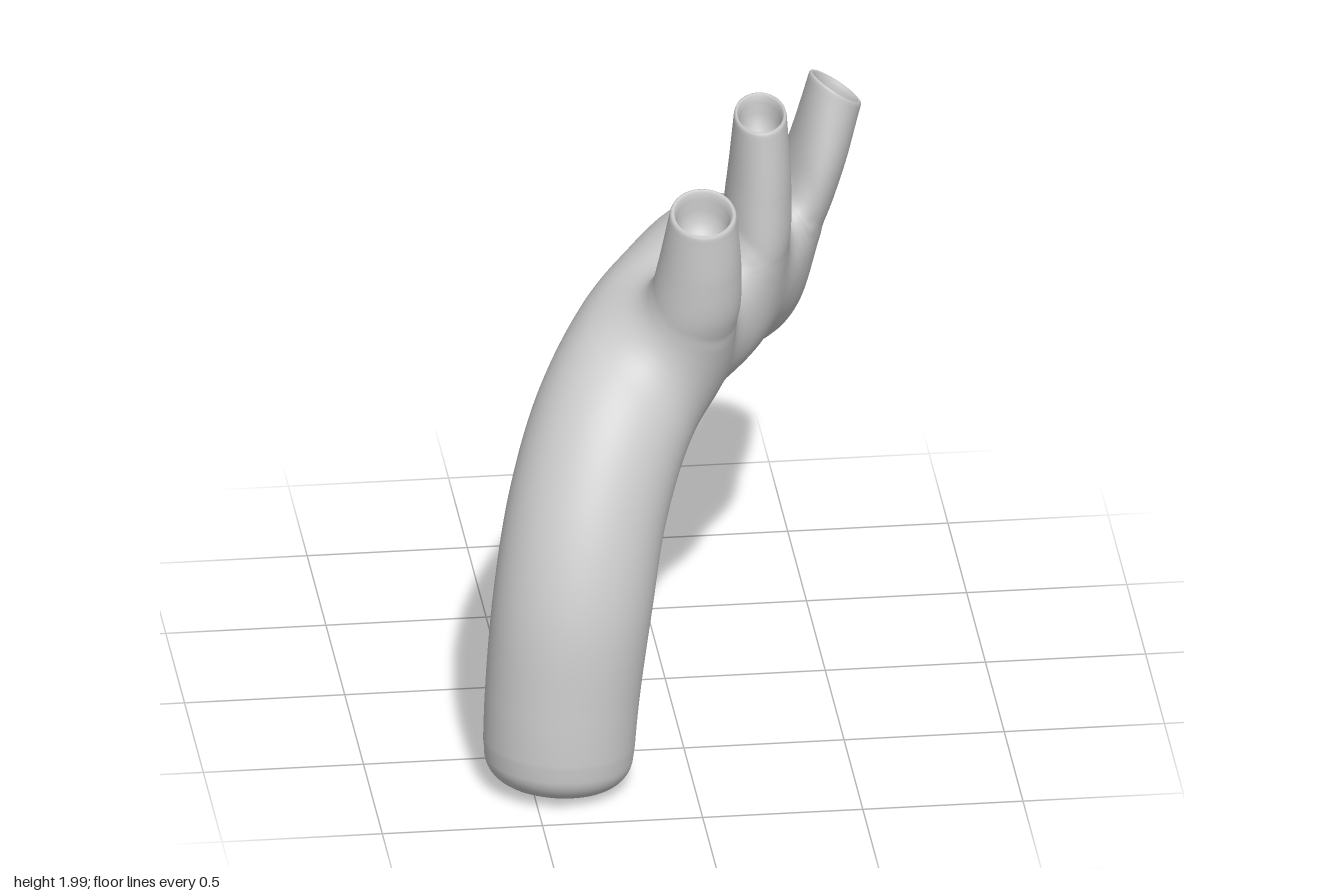
import * as THREE from 'three';

const SEG = 72, ARCH_STEPS = 200, BRANCH_STEPS = 80, BLEND = 0.135;
const V = (x, y, z) => new THREE.Vector3(x, y, z);
const material = new THREE.MeshStandardMaterial({ color: 0xcccccc });

// Rounded lip and hollow of an open end: [radius factor, depth]
const HOLLOW = [[0.97, -0.008], [0.91, -0.011], [0.85, -0.004], [0.79, 0.015], [0.74, 0.05], [0.63, 0.085], [0.4, 0.105], [0, 0.115]];

// Sections: x, y, z, two radii
const ARCH = [
  [-0.42, 0.018, 0.703, 0.232, 0.232], [-0.402, 0.3, 0.687, 0.24, 0.24], [-0.365, 0.6, 0.65, 0.248, 0.248],
  [-0.305, 0.88, 0.547, 0.248, 0.248], [-0.21, 1.1, 0.4, 0.248, 0.248], [-0.065, 1.245, 0.182, 0.248, 0.248],
  [0.07, 1.298, 0, 0.248, 0.248], [0.185, 1.268, -0.25, 0.243, 0.243], [0.255, 1.175, -0.46, 0.228, 0.24],
  [0.284, 1.085, -0.64, 0.206, 0.238], [0.31, 0.95, -0.83, 0.158, 0.166],
];
// Branches also have the slope of the mouth along x and z
const BRANCHES = [
  { name: 'frontBranch', tilt: [0, -0.45], sections: [
    [-0.08, 1.22, 0.26, 0.1, 0.1], [-0.005, 1.32, 0.335, 0.145, 0.14], [0.038, 1.45, 0.385, 0.146, 0.145],
    [0.058, 1.62, 0.42, 0.13, 0.13], [0.065, 1.815, 0.46, 0.104, 0.094]] },
  { name: 'middleBranch', tilt: [0.03, -0.25], sections: [
    [0.12, 1.25, 0, 0.1, 0.12], [0.21, 1.36, 0, 0.115, 0.16], [0.27, 1.5, 0.018, 0.11, 0.178],
    [0.287, 1.72, 0.045, 0.1, 0.149], [0.288, 1.965, 0.08, 0.082, 0.102]] },
  { name: 'rearBranch', tilt: [-0.7, 0.18], sections: [
    [0.29, 1.17, -0.42, 0.09, 0.14], [0.36, 1.27, -0.4, 0.098, 0.19], [0.437, 1.4, -0.382, 0.092, 0.216],
    [0.507, 1.62, -0.337, 0.088, 0.18], [0.566, 1.858, -0.305, 0.08, 0.108]] },
];

// Evenly stepped centre, tangent and radii along a list of sections
function sample(sections, steps) {
  const path = new THREE.CatmullRomCurve3(sections.map(s => V(s[0], s[1], s[2])));
  const size = new THREE.CatmullRomCurve3(sections.map(s => V(s[3], 0, s[4])), false, 'catmullrom');
  return Array.from({ length: steps + 1 }, (_, i) => {
    const r = size.getPoint(i / steps);
    return { c: path.getPoint(i / steps), t: path.getTangent(i / steps), rx: r.x, rz: r.z };
  });
}
const archSpine = sample(ARCH, ARCH_STEPS);
const branchSpines = BRANCHES.map(b => sample(b.sections, BRANCH_STEPS));
const spines = [archSpine, ...branchSpines];

// Approximate distance from a point to the skin of one tube
function distance(p, spine) {
  let best = Infinity;
  for (const { c, rx, rz } of spine) {
    const m = Math.min(rx, rz), x = (p.x - c.x) / rx, y = (p.y - c.y) / m, z = (p.z - c.z) / rz;
    best = Math.min(best, (Math.sqrt(x * x + y * y + z * z) - 1) * m);
  }
  return best;
}
// All tubes joined with soft fillets
const softMin = (a, b) => Math.min(a, b) - Math.max(BLEND - Math.abs(a - b), 0) ** 2 / (4 * BLEND);
const field = p => spines.map(s => distance(p, s)).reduce(softMin);
function gradient(p, f) {
  const e = 0.004;
  return V(field(V(p.x + e, p.y, p.z)) - f, field(V(p.x, p.y + e, p.z)) - f, field(V(p.x, p.y, p.z + e)) - f).divideScalar(e);
}

// Skin a list of rings, drawing the vertices near other tubes onto the fillet
function loft(rings, name, own) {
  const others = spines.filter(s => s !== own);
  const pos = [], idx = [], blended = [];
  rings.flat().forEach((p, i) => {
    const o = Math.min(...others.map(s => distance(p, s)));
    const w = THREE.MathUtils.smoothstep(o, -0.08, -0.03) * (1 - THREE.MathUtils.smoothstep(o, BLEND * 0.65, BLEND));
    if (w > 0) {
      const q = p.clone();
      for (let k = 0; k < 4; k++) {
        const f = field(q), g = gradient(q, f);
        q.addScaledVector(g, -f / Math.max(g.lengthSq(), 0.2));
      }
      p = p.clone().lerp(q, w);
      blended.push([i, w, gradient(p, field(p)).normalize()]);
    }
    pos.push(p.x, p.y, p.z);
  });
  for (let i = 0; i < rings.length - 1; i++) {
    for (let j = 0; j < SEG; j++) {
      const a = i * SEG + j, b = i * SEG + (j + 1) % SEG;
      idx.push(a, b, a + SEG, b, b + SEG, a + SEG);
    }
  }
  const g = new THREE.BufferGeometry();
  g.setAttribute('position', new THREE.Float32BufferAttribute(pos, 3));
  g.setIndex(idx);
  g.computeVertexNormals();
  const normal = g.attributes.normal;
  for (const [i, w, n] of blended) {
    const m = V().fromBufferAttribute(normal, i).lerp(n, w).normalize();
    normal.setXYZ(i, m.x, m.y, m.z);
  }
  const mesh = new THREE.Mesh(g, material);
  mesh.name = name;
  return mesh;
}

const circle = fn => Array.from({ length: SEG }, (_, j) => fn(Math.cos(j / SEG * Math.PI * 2), Math.sin(j / SEG * Math.PI * 2)));

function buildArch() {
  const ring = (s, ru, rv, shift = 0) => {
    const side = V(0.89, 0, 0.45);
    const u = side.addScaledVector(s.t, -side.dot(s.t)).normalize();
    const v = s.t.clone().cross(u);
    return circle((cos, sin) => s.c.clone().addScaledVector(s.t, shift).addScaledVector(u, ru * cos).addScaledVector(v, rv * sin));
  };
  const first = archSpine[0], last = archSpine[ARCH_STEPS], rings = [];
  // closed foot with a rounded edge
  const round = 0.095, flat = first.rx - round;
  for (const f of [0, 0.5, 0.9]) rings.push(ring(first, flat * f, flat * f));
  for (let k = 0; k <= 10; k++) {
    const a = k / 10 * Math.PI / 2, r = flat + round * Math.sin(a);
    rings.push(ring(first, r, r, round * (1 - Math.cos(a))));
  }
  // body, then the hollow far end
  archSpine.slice(9).forEach(s => rings.push(ring(s, s.rx, s.rz)));
  HOLLOW.forEach(([f, d]) => rings.push(ring(last, last.rx * f, last.rz * f, -d)));
  return loft(rings, 'arch', archSpine);
}

function buildBranch({ name, tilt }, spine) {
  const ring = (s, w, f = 1, depth = 0) => circle((cos, sin) => {
    const dx = s.rx * f * cos, dz = -s.rz * f * sin;
    return V(s.c.x + dx, s.c.y + w * (dx * tilt[0] + dz * tilt[1]), s.c.z + dz).addScaledVector(s.t, -depth);
  });
  const rings = spine.map((s, i) => ring(s, (i / BRANCH_STEPS) ** 3));
  HOLLOW.forEach(([f, d]) => rings.push(ring(spine[BRANCH_STEPS], 1, f, d)));
  return loft(rings, name, spine);
}

export function createModel() {
  const group = new THREE.Group();
  group.name = 'archedVessel';
  group.add(buildArch());
  BRANCHES.forEach((b, i) => group.add(buildBranch(b, branchSpines[i])));
  return group;
}
